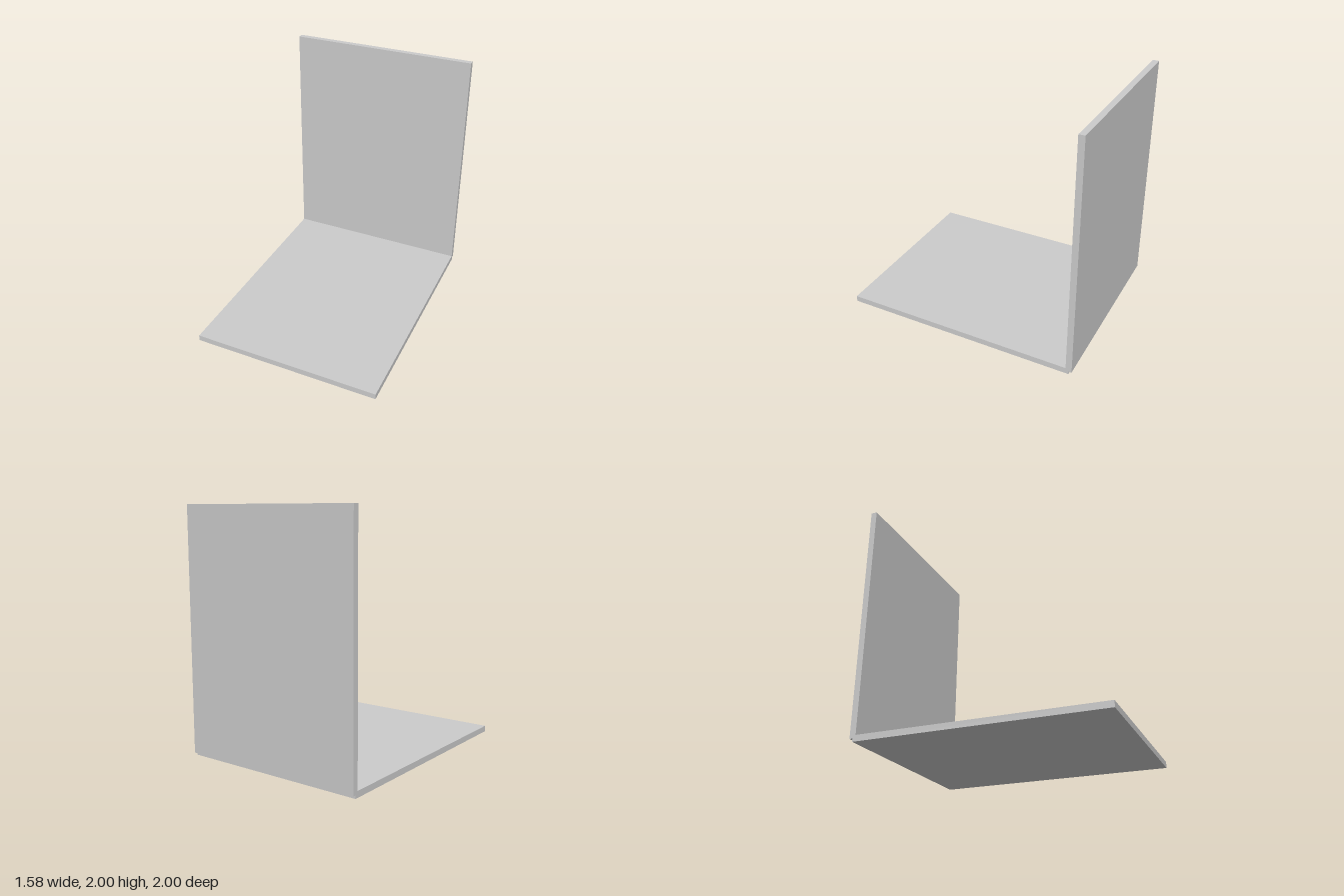
import * as THREE from 'three';

const WIDTH = 1.58;
const THICK = 0.05;
const LENGTH = 1.975; // each panel stops half a thickness short of the outer corner

export function createModel() {
  const group = new THREE.Group();
  const material = new THREE.MeshStandardMaterial({ color: 0xcccccc });

  function addPanel(name, height, depth, y, z) {
    const panel = new THREE.Mesh(new THREE.BoxGeometry(WIDTH, height, depth), material);
    panel.name = name;
    panel.position.set(0, y, z);
    group.add(panel);
  }

  // Flat base, and an upright back that overlaps its rear edge
  addPanel('basePanel', THICK, LENGTH, THICK / 2, 1 - LENGTH / 2);
  addPanel('backPanel', LENGTH, THICK, 2 - LENGTH / 2, -1 + THICK / 2);

  return group;
}
